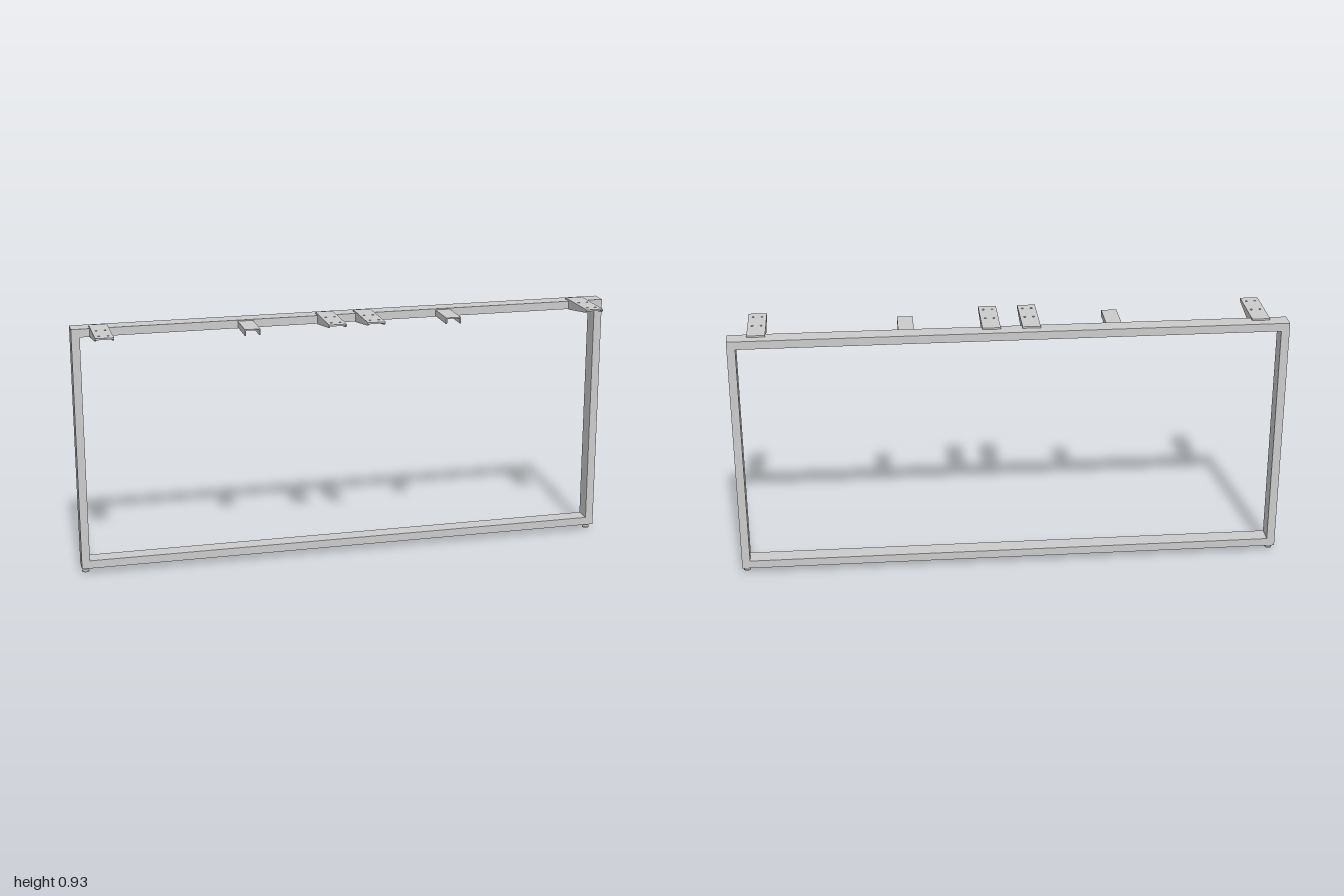
import * as THREE from 'three';

const material = new THREE.MeshStandardMaterial({ color: 0xcccccc });

const FRONT = -0.059, BACK = -0.124; // depth of the frame tubes
const BAR = 0.03;                    // tube width seen from the front
const BOTTOM = 0.021, TOP = 0.925;

function add(parent, name, geometry, x = 0, y = 0, z = 0) {
  const mesh = new THREE.Mesh(geometry, material);
  mesh.name = name;
  mesh.position.set(x, y, z);
  parent.add(mesh);
  return mesh;
}

// Box given by its limits
function addBox(parent, name, x0, x1, y0, y1, z0, z1) {
  const geometry = new THREE.BoxGeometry(x1 - x0, y1 - y0, z1 - z0);
  return add(parent, name, geometry, (x0 + x1) / 2, (y0 + y1) / 2, (z0 + z1) / 2);
}

// Tapered bracket: drilled top plate with two side webs, open below
function supportBracket(x) {
  const bracket = new THREE.Group();
  bracket.name = 'supportBracket';
  bracket.position.x = x;
  const half = 0.0325, top = 0.932, thick = 0.006, web = 0.004;

  const plate = new THREE.Shape([
    new THREE.Vector2(-half, -0.09), new THREE.Vector2(half, -0.09),
    new THREE.Vector2(half, 0.124), new THREE.Vector2(-half, 0.124),
  ]);
  for (const hx of [-0.016, 0.016]) {
    for (const hz of [0.005, 0.09]) {
      plate.holes.push(new THREE.Path().absarc(hx, hz, 0.0045, 0, Math.PI * 2, true));
    }
  }
  const plateGeometry = new THREE.ExtrudeGeometry(plate, { depth: thick, bevelEnabled: false, curveSegments: 8 });
  plateGeometry.rotateX(Math.PI / 2);
  add(bracket, 'topPlate', plateGeometry, 0, top, 0);

  const side = new THREE.Shape([
    new THREE.Vector2(FRONT, 0.893), new THREE.Vector2(0.117, 0.92),
    new THREE.Vector2(0.123, top - thick), new THREE.Vector2(FRONT, top - thick),
  ]);
  for (const s of [-1, 1]) {
    const geometry = new THREE.ExtrudeGeometry(side, { depth: web, bevelEnabled: false });
    geometry.translate(0, 0, -web / 2).rotateY(-Math.PI / 2);
    add(bracket, 'sideWeb', geometry, s * (half - web / 2));
  }
  return bracket;
}

// Short channel: flat top and two straight flanges, open below
function channelBracket(x) {
  const bracket = new THREE.Group();
  bracket.name = 'channelBracket';
  bracket.position.x = x;
  const half = 0.028, top = 0.921, low = 0.898, thick = 0.004, end = 0.076;
  addBox(bracket, 'channelTop', -half, half, top - thick, top, FRONT, end);
  addBox(bracket, 'channelFlange', -half, -half + thick, low, top - thick, FRONT, end);
  addBox(bracket, 'channelFlange', half - thick, half, low, top - thick, FRONT, end);
  return bracket;
}

// Levelling foot: flared pad on a threaded stem
function levellingFoot(x) {
  const profile = [[0, 0], [0.013, 0], [0.013, 0.005], [0.009, 0.009], [0.004, 0.009], [0.004, BOTTOM]]
    .map(([r, y]) => new THREE.Vector2(r, y));
  const foot = new THREE.Group();
  foot.name = 'levellingFoot';
  for (let i = 0; i < profile.length - 1; i++) {
    add(foot, 'footSection', new THREE.LatheGeometry([profile[i], profile[i + 1]], 20));
  }
  foot.position.set(x, 0, (FRONT + BACK) / 2);
  return foot;
}

export function createModel() {
  const model = new THREE.Group();
  model.name = 'deskFrame';

  // Rectangular tube frame
  const inner = 1 - BAR;
  addBox(model, 'leftPost', inner, 1, BOTTOM, TOP, BACK, FRONT);
  addBox(model, 'rightPost', -1, -inner, BOTTOM, TOP, BACK, FRONT);
  addBox(model, 'topRail', -inner, inner, TOP - BAR, TOP, BACK, FRONT);
  addBox(model, 'bottomRail', -inner, inner, BOTTOM, BOTTOM + BAR, BACK, FRONT);

  // Brackets along the top rail
  for (const x of [-0.902, -0.075, 0.068, 0.898]) model.add(supportBracket(x));
  for (const x of [-0.374, 0.37]) model.add(channelBracket(x));

  for (const x of [-0.984, 0.984]) model.add(levellingFoot(x));
  return model;
}
